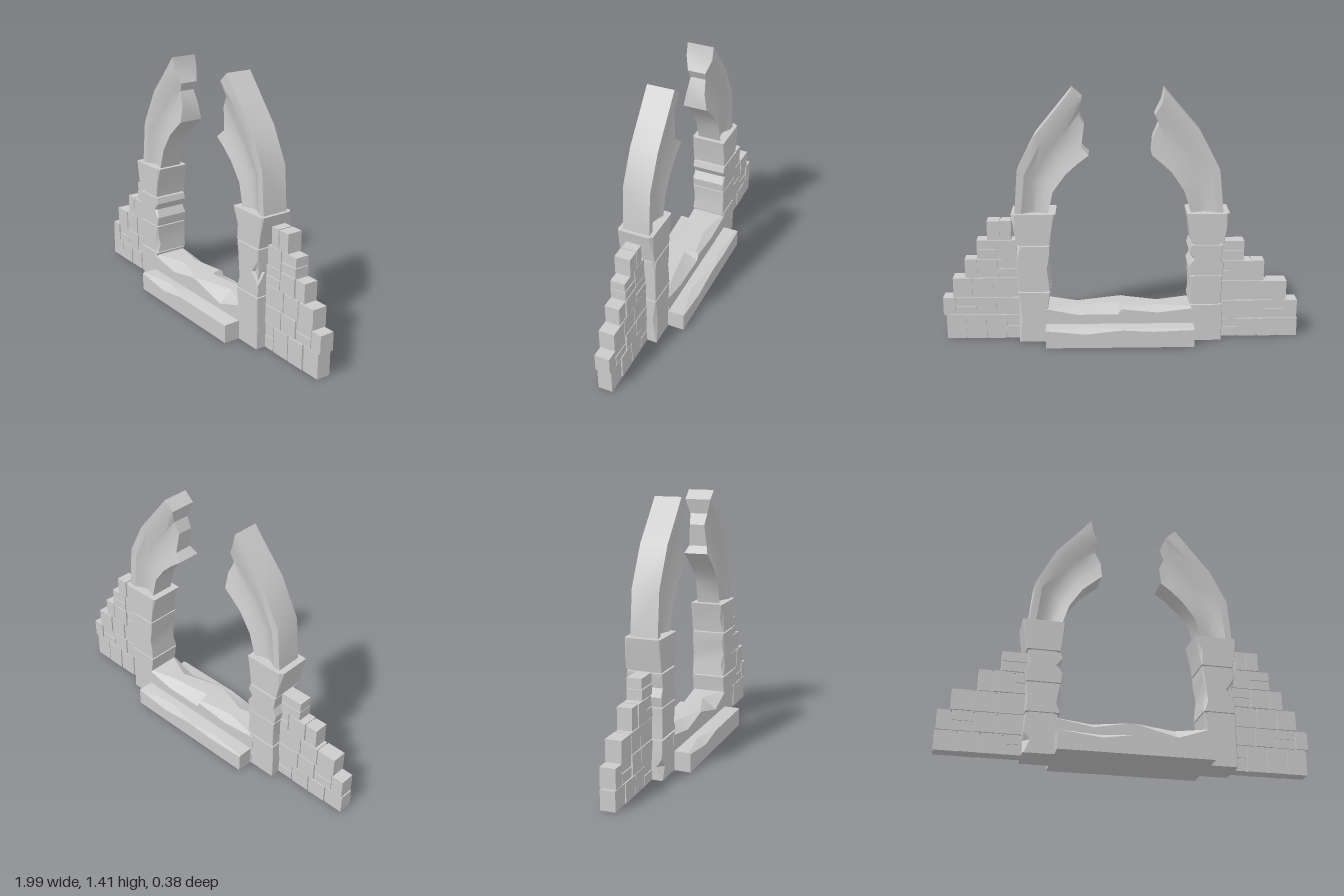
import * as THREE from 'three';
import { toCreasedNormals } from 'three/addons/utils/BufferGeometryUtils.js';

const stone = new THREE.MeshStandardMaterial({ color: 0xcccccc });

// Skin a list of equal-length rings ([x, y, z] points) and close both ends with strips.
function loft(rings, crease = 0.3) {
  const n = rings[0].length;
  const last = rings.length - 1;
  let tris = [];
  const quad = (a, b, c, d) => tris.push([a, b, c], [a, c, d]);
  for (let r = 0; r < last; r++) {
    for (let i = 0; i < n; i++) {
      const j = (i + 1) % n;
      quad(rings[r][i], rings[r][j], rings[r + 1][j], rings[r + 1][i]);
    }
  }
  for (let i = 0; i < n / 2 - 1; i++) {
    const [s, e] = [rings[0], rings[last]];
    quad(s[n - 1 - i], s[n - 2 - i], s[i + 1], s[i]);
    quad(e[i], e[i + 1], e[n - 2 - i], e[n - 1 - i]);
  }
  // Turn the whole skin outward if its signed volume is negative
  const volume = tris.reduce((v, [a, b, c]) => v +
    a[0] * (b[1] * c[2] - b[2] * c[1]) +
    a[1] * (b[2] * c[0] - b[0] * c[2]) +
    a[2] * (b[0] * c[1] - b[1] * c[0]), 0);
  if (volume < 0) tris = tris.map(([a, b, c]) => [a, c, b]);
  const geo = new THREE.BufferGeometry();
  geo.setAttribute('position', new THREE.Float32BufferAttribute(tris.flat(2), 3));
  geo.computeVertexNormals();
  return toCreasedNormals(geo, crease);
}

function add(parent, name, geo) {
  const mesh = new THREE.Mesh(geo, stone);
  mesh.name = name;
  parent.add(mesh);
  return mesh;
}

function addBox(parent, name, x0, x1, y0, y1, depth) {
  const mesh = add(parent, name, new THREE.BoxGeometry(x1 - x0, y1 - y0, depth));
  mesh.position.set((x0 + x1) / 2, (y0 + y1) / 2, 0);
}

// Worn pillar stone. Levels: [y, x0, x1, chips at frontLeft, frontRight, backRight, backLeft]
function pillarStone(levels) {
  const z = 0.097;
  return loft(levels.map(([y, x0, x1, fl = 0.003, fr = 0.003, br = 0.003, bl = 0.003]) => [
    [x0, y, z - fl], [x0 + fl, y, z], [x1 - fr, y, z], [x1, y, z - fr],
    [x1, y, -z + br], [x1 - br, y, -z], [x0 + bl, y, -z], [x0, y, -z + bl],
  ]), 0.6);
}

// Worn step. Stations: [x, front drop, front wear depth, back drop, back wear depth]
function step(height, half, stations) {
  return loft(stations.map(([x, fd, fw, bd, bw]) => [
    [x, 0, half], [x, height - fd, half], [x, height, half - fw],
    [x, height, -half + bw], [x, height - bd, -half], [x, 0, -half],
  ]));
}

// Broken arch with hollowed flanks: outer and inner curves, then a jagged broken end
const flank = [[0, 0.074], [0.2, 0.074], [0.42, 0.05], [0.6, 0.043], [0.8, 0.052], [1, 0.068]];
function brokenArch(outer, inner, jag) {
  const rows = outer.map((o, i) => flank.map(([u]) =>
    [o[0] + (inner[i][0] - o[0]) * u, o[1] + (inner[i][1] - o[1]) * u]));
  rows.push(jag);
  return loft(rows.map((row) => {
    const front = row.map(([x, y], i) => [x, y, flank[i][1]]);
    const back = front.map(([x, y, z]) => [x, y, -z]).reverse();
    return [...front, ...back];
  }), 0.45);
}

// Stepped ruin of bricks. Rows: [y0, y1, inner x, outer x]
function brickWall(name, rows) {
  const wall = new THREE.Group();
  wall.name = name;
  const gap = 0.004;
  rows.forEach(([y0, y1, inner, outer], r) => {
    const dir = Math.sign(outer);
    const brick = (a, b, lo, hi, depth) => addBox(wall, 'brick',
      Math.min(a, b) + gap, Math.max(a, b) - gap, lo + (lo > 0 ? gap : 0), hi, depth);
    addBox(wall, 'mortar', Math.min(inner, outer - dir * 0.012), Math.max(inner, outer - dir * 0.012),
      y0, y1 - 0.006, 0.066);
    let end = outer;
    for (let k = 0; (end - inner) * dir > 0.01; k++) {
      const width = k === 0 && r % 2 ? 0.075 : 0.115;
      let next = end - dir * width;
      if ((next - inner) * dir < 0.04) next = inner;
      const depth = 0.08 + 0.003 * ((k * 2 + r) % 3);
      if ((k + 2 * r) % 5 === 3) {
        // Pair of thin bricks in place of a full one
        const mid = (y0 + y1) / 2;
        brick(end, next, y0, mid, depth);
        brick(end, next, mid, y1, depth - 0.004);
      } else brick(end, next, y0, y1, depth);
      end = next;
    }
  });
  return wall;
}

export function createModel() {
  const model = new THREE.Group();
  model.name = 'ruinedArchway';

  // Threshold steps with chipped edges
  add(model, 'lowerStep', step(0.105, 0.19, [
    [-0.4, 0.004, 0.01, 0.004, 0.01], [-0.17, 0.03, 0.05, 0.012, 0.03],
    [0, 0.003, 0.01, 0.003, 0.01], [0.2, 0.003, 0.01, 0.025, 0.05], [0.42, 0.003, 0.01, 0.003, 0.01],
  ]));
  add(model, 'upperStep', step(0.2, 0.099, [
    [-0.41, 0.005, 0.01, 0.005, 0.01], [-0.2, 0.04, 0.075, 0.03, 0.05], [0, 0.003, 0.01, 0.01, 0.02],
    [0.02, 0.006, 0.012, 0.04, 0.08], [0.25, 0.063, 0.08, 0.04, 0.05], [0.42, 0.005, 0.01, 0.005, 0.01],
  ]));

  // Pillars, stacked from separate worn stones
  const pillars = {
    rightPillar: [
      [[0, -0.56, -0.4, 0.006], [0.07, -0.56, -0.4, 0.035], [0.1, -0.56, -0.4, 0.012], [0.12, -0.56, -0.4], [0.212, -0.555, -0.385]],
      [[0.222, -0.555, -0.375], [0.27, -0.553, -0.378, 0.003, 0.02], [0.32, -0.553, -0.38, 0.003, 0.012], [0.382, -0.555, -0.375]],
      [[0.388, -0.555, -0.375], [0.44, -0.565, -0.368], [0.485, -0.545, -0.392, 0.003, 0.015, 0.01],
        [0.525, -0.553, -0.37], [0.56, -0.555, -0.38]],
      [[0.57, -0.56, -0.382], [0.65, -0.575, -0.372], [0.74, -0.59, -0.355, 0.004, 0.012, 0.004, 0.02]],
    ],
    leftPillar: [
      [[0, 0.415, 0.57], [0.15, 0.415, 0.57, 0.003, 0.006, 0.02], [0.292, 0.395, 0.57]],
      [[0.3, 0.395, 0.57], [0.36, 0.4, 0.57, 0.02], [0.43, 0.408, 0.57, 0.005, 0.048], [0.5, 0.395, 0.57, 0.012],
        [0.56, 0.393, 0.57, 0.003, 0.003, 0.02]],
      [[0.568, 0.392, 0.572], [0.65, 0.38, 0.585, 0.02], [0.74, 0.358, 0.6, 0.004, 0.01, 0.02, 0.01]],
    ],
  };
  for (const [name, stones] of Object.entries(pillars)) {
    const pillar = new THREE.Group();
    pillar.name = name;
    stones.forEach((levels, i) =>
      add(pillar, i === stones.length - 1 ? 'capital' : 'pillarStone', pillarStone(levels)));
    // Narrow core closing the joints between stones
    const [x0, x1] = name === 'rightPillar' ? [-0.54, -0.4] : [0.42, 0.56];
    addBox(pillar, 'pillarCore', x0, x1, 0.01, 0.7, 0.17);
    model.add(pillar);
  }

  // Broken halves of the pointed arch
  add(model, 'rightArch', brokenArch(
    [[-0.555, 0.735], [-0.53, 0.98], [-0.42, 1.19], [-0.31, 1.315]],
    [[-0.38, 0.735], [-0.34, 0.86], [-0.27, 0.965], [-0.215, 1.015]],
    [[-0.23, 1.41], [-0.215, 1.34], [-0.178, 1.272], [-0.2, 1.225], [-0.168, 1.15], [-0.162, 1.06]]));
  add(model, 'leftArch', brokenArch(
    [[0.58, 0.735], [0.56, 0.98], [0.465, 1.165], [0.35, 1.305]],
    [[0.4, 0.735], [0.37, 0.86], [0.3, 0.955], [0.235, 1.015]],
    [[0.265, 1.41], [0.21, 1.36], [0.228, 1.28], [0.198, 1.22], [0.215, 1.1], [0.175, 1.06]]));

  // Crumbling side walls
  model.add(brickWall('rightWall', [
    [0, 0.105, -0.55, -1], [0.105, 0.215, -0.55, -0.995], [0.215, 0.33, -0.55, -0.93],
    [0.33, 0.45, -0.55, -0.8], [0.45, 0.565, -0.55, -0.685],
  ]));
  model.add(brickWall('leftWall', [
    [0, 0.14, 0.565, 0.985], [0.14, 0.245, 0.565, 1], [0.245, 0.36, 0.565, 0.94],
    [0.36, 0.47, 0.565, 0.87], [0.47, 0.58, 0.575, 0.8], [0.58, 0.69, 0.605, 0.74],
  ]));
  return model;
}
